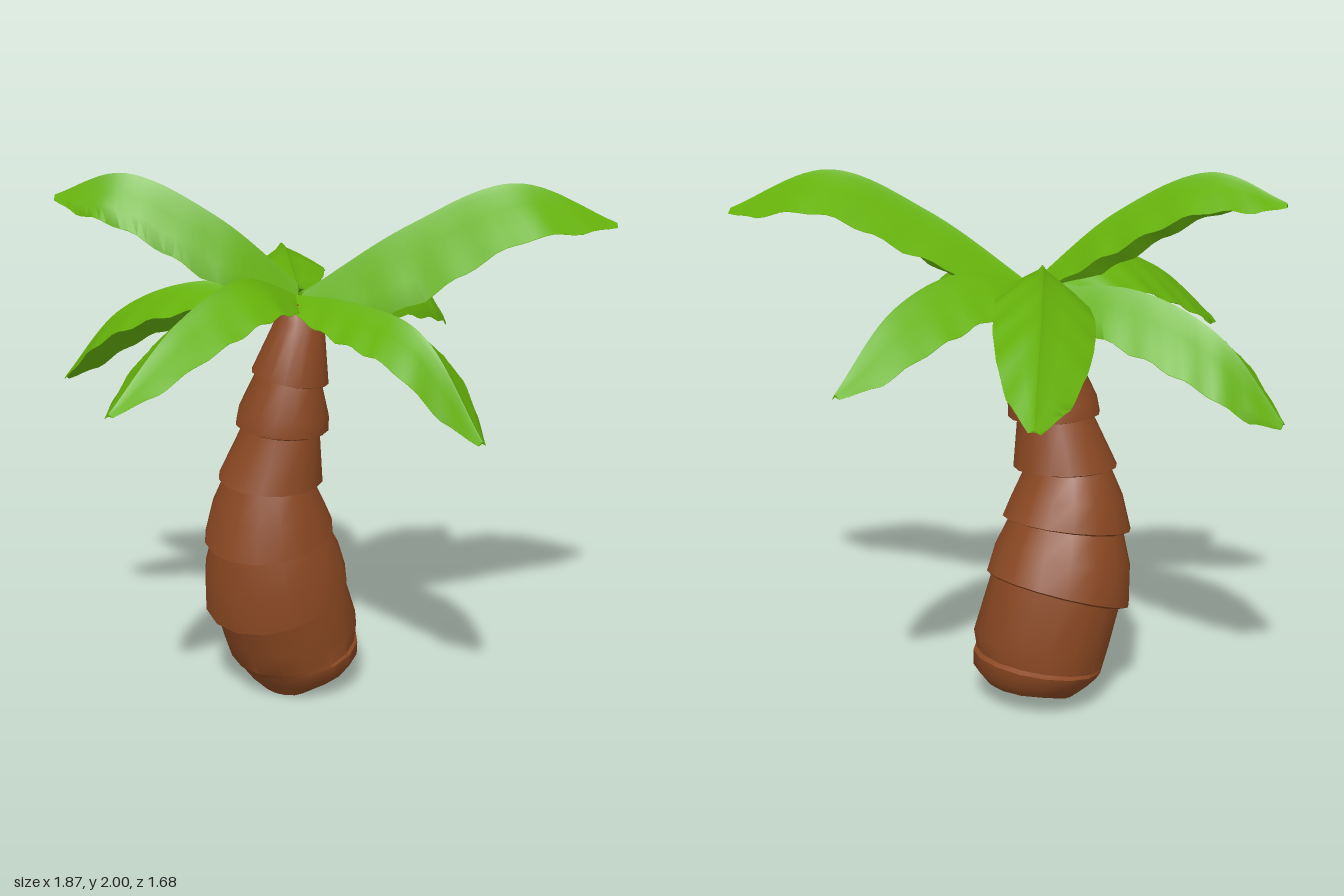
import * as THREE from 'three';
import { toCreasedNormals } from 'three/addons/utils/BufferGeometryUtils.js';

// Skin a list of closed rings (arrays of Vector3) and cap both ends
function skin(rings, crease) {
  const n = rings[0].length, pos = [], idx = [];
  rings.forEach(r => r.forEach(p => pos.push(p.x, p.y, p.z)));
  for (let i = 0; i < rings.length - 1; i++) {
    for (let j = 0; j < n; j++) {
      const k = (j + 1) % n, a = i * n + j, b = i * n + k;
      idx.push(a, b, b + n, a, b + n, a + n);
    }
  }
  const last = (rings.length - 1) * n;
  [0, last].forEach(start => {
    const c = new THREE.Vector3();
    rings[start / n].forEach(p => c.addScaledVector(p, 1 / n));
    const ci = pos.length / 3;
    pos.push(c.x, c.y, c.z);
    for (let j = 0; j < n; j++) {
      const a = start + j, b = start + (j + 1) % n;
      if (start === 0) idx.push(ci, b, a); else idx.push(ci, a, b);
    }
  });
  const g = new THREE.BufferGeometry();
  g.setAttribute('position', new THREE.Float32BufferAttribute(pos, 3));
  g.setIndex(idx);
  return toCreasedNormals(g, crease);
}

// Tilted oval ring: x and y at both sides, z at front and back, y lift towards the back
function trunkRing([xl, yl, xr, yr, zf, zb, lift]) {
  const ring = [], sides = 16;
  for (let j = 0; j < sides; j++) {
    const a = j / sides * Math.PI * 2, c = Math.cos(a), s = Math.sin(a);
    ring.push(new THREE.Vector3(
      (xl + xr) / 2 + c * (xr - xl) / 2,
      (yl + yr) / 2 + c * (yr - yl) / 2 + s * lift,
      (zf + zb) / 2 - s * (zf - zb) / 2));
  }
  return ring;
}

// Each trunk segment flares out over the top of the one below
const TRUNK = [
  [-0.11, 0.00, 0.05, 0.02, 0.05, -0.2, 0],
  [-0.16, 0.05, 0.23, 0.08, 0.11, -0.3, 0.01],
  [-0.19, 0.09, 0.275, 0.14, 0.15, -0.35, 0.01],
  [-0.205, 0.11, 0.275, 0.2, 0.16, -0.365, 0.01],
  [-0.215, 0.115, 0.26, 0.21, 0.155, -0.35, 0.01],
  [-0.25, 0.21, 0.27, 0.28, 0.165, -0.355, 0.01],
  [-0.29, 0.32, 0.195, 0.5, 0.165, -0.345, 0.03],
  [-0.33, 0.325, 0.205, 0.51, 0.2, -0.37, 0.03],
  [-0.345, 0.48, 0.165, 0.61, 0.195, -0.335, 0.03],
  [-0.325, 0.61, 0.11, 0.7, 0.165, -0.285, 0.025],
  [-0.355, 0.62, 0.13, 0.71, 0.19, -0.305, 0.025],
  [-0.325, 0.76, 0.09, 0.79, 0.165, -0.27, 0.02],
  [-0.28, 0.875, 0.04, 0.88, 0.13, -0.22, 0.015],
  [-0.31, 0.88, 0.08, 0.89, 0.16, -0.235, 0.015],
  [-0.225, 1.08, 0.055, 1.07, 0.14, -0.16, 0.01],
  [-0.25, 1.09, 0.09, 1.08, 0.165, -0.19, 0.01],
  [-0.24, 1.15, 0.09, 1.13, 0.165, -0.18, 0.01],
  [-0.18, 1.285, 0.055, 1.25, 0.14, -0.12, 0.015],
  [-0.2, 1.29, 0.075, 1.26, 0.165, -0.135, 0.015],
  [-0.13, 1.5, 0.045, 1.48, 0.14, -0.03, 0.01],
  [-0.1, 1.56, 0.03, 1.55, 0.1, -0.01, 0.01],
];

// Leaf: rib points, then [width, droop at root, droop at tip] of its left and right halves
const LEAVES = [
  { rib: [[0, 1.57, 0], [0.3, 1.82, 0.25], [0.6, 1.965, 0.46], [0.92, 1.83, 0.65]], left: [0.25, 0.12, 0.12], right: [0.21, 0.34, 0.1] },
  { rib: [[-0.04, 1.57, 0], [0.04, 1.57, 0.3], [0.1, 1.51, 0.57], [0.165, 1.19, 0.83]], left: [0.18, 0.1, 0.15], right: [0.18, 0.08, 0.09] },
  { rib: [[-0.03, 1.57, 0.01], [-0.3, 1.66, 0.07], [-0.6, 1.56, 0.14], [-0.925, 1.32, 0.23]], left: [0.18, 0.14, 0.05], right: [0.18, 0.12, 0.15] },
  { rib: [[0, 1.6, -0.02], [-0.25, 1.84, -0.17], [-0.5, 1.99, -0.39], [-0.67, 1.91, -0.61]], left: [0.15, 0.25, 0.13], right: [0.19, 0.14, 0.1] },
  { rib: [[0, 1.57, -0.02], [-0.25, 1.58, -0.32], [-0.43, 1.45, -0.58], [-0.57, 1.18, -0.78]], left: [0.17, 0.08, 0.08], right: [0.18, 0.18, 0.15] },
  { rib: [[0, 1.6, -0.03], [0.1, 1.69, -0.27], [0.24, 1.58, -0.53], [0.42, 1.3, -0.83]], left: [0.18, 0.17, 0.13], right: [0.17, 0.11, 0.07] },
  { rib: [[0, 1.58, 0], [0.3, 1.64, -0.03], [0.6, 1.56, -0.13], [0.88, 1.34, -0.28]], left: [0.21, 0.13, 0.1], right: [0.13, 0.2, 0.17] },
];

// Relative half-width from root to tip, and the stations across a leaf
const WIDTHS = [0.2, 0.6, 0.84, 0.97, 1, 0.97, 0.85, 0.6, 0.12];
const ACROSS = [1, 0.7, 0.4, 0.09, 0, -0.09, -0.4, -0.7, -1];

function leafGeometry({ rib, left, right }) {
  const curve = new THREE.CatmullRomCurve3(rib.map(p => new THREE.Vector3(...p)));
  const dir = curve.getPoint(1).sub(curve.getPoint(0)).setY(0).normalize();
  const side = new THREE.Vector3(dir.z, 0, -dir.x);
  const rings = [], steps = 32;
  for (let i = 0; i <= steps; i++) {
    const t = i / steps, p = curve.getPoint(t);
    const f = t * (WIDTHS.length - 1), k = Math.min(Math.floor(f), WIDTHS.length - 2);
    const w = THREE.MathUtils.lerp(WIDTHS[k], WIDTHS[k + 1], f - k);
    const point = (s, under) => {
      const [width, rootDroop, tipDroop] = s > 0 ? left : right, m = Math.abs(s);
      const droop = THREE.MathUtils.lerp(rootDroop, tipDroop, t);
      const ridge = m < 0.05 ? 0.012 * w : 0;
      const ripple = 0.007 * m * w * Math.sin(t * 40 - m * 4);
      const q = p.clone().addScaledVector(side, s * width * w);
      q.y += ripple - droop * w * Math.pow(m, 1.15) + (under ? -0.018 * w * (1.1 - m) : ridge);
      return q;
    };
    const top = ACROSS.map(s => point(s, false));
    const bottom = ACROSS.slice().reverse().map(s => point(s, true));
    rings.push([...top, ...bottom]);
  }
  return skin(rings, 0.7);
}

export function createModel() {
  const group = new THREE.Group();
  group.name = 'palmTree';
  const bark = new THREE.MeshStandardMaterial({ color: 0x8a4822 });
  bark.name = 'bark brown';
  const green = new THREE.MeshStandardMaterial({ color: 0x65b00a });
  green.name = 'leaf green';

  // Leaning trunk of stacked segments
  const trunk = new THREE.Mesh(skin(TRUNK.map(trunkRing), 0.75), bark);
  trunk.name = 'trunk';
  group.add(trunk);

  // Crown of seven drooping leaves
  const crown = new THREE.Group();
  crown.name = 'crown';
  LEAVES.forEach((spec, i) => {
    const leaf = new THREE.Mesh(leafGeometry(spec), green);
    leaf.name = `leaf${i + 1}`;
    crown.add(leaf);
  });
  group.add(crown);
  return group;
}
